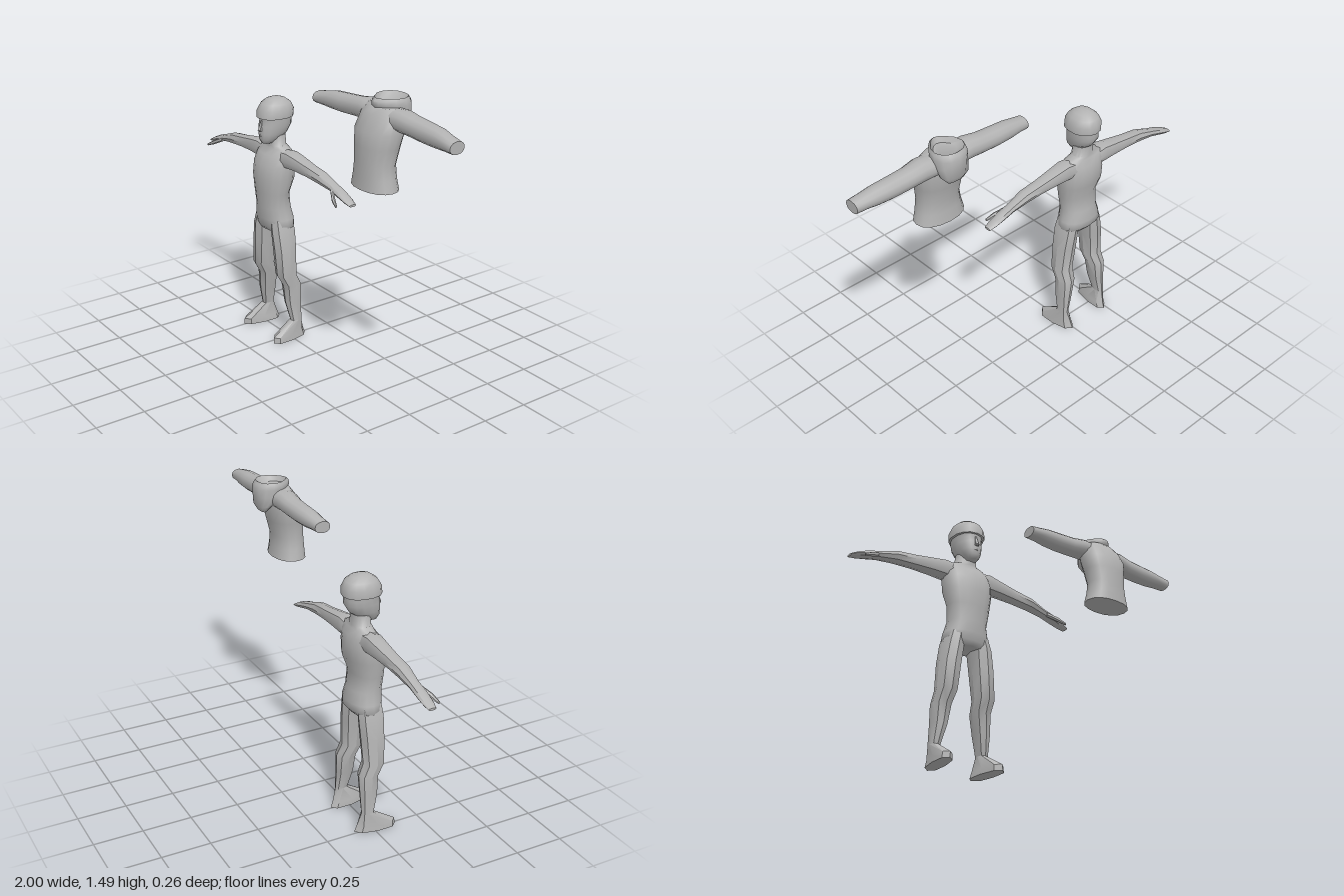
import * as THREE from 'three';
import { toCreasedNormals } from 'three/addons/utils/BufferGeometryUtils.js';

const grey = new THREE.MeshStandardMaterial({ color: 0xb3b3b3 });
grey.name = 'grey';

// Rounds an angle's sine or cosine towards a square by the power p
const soft = (v, p) => Math.sign(v) * Math.abs(v) ** p;

// Skin over elliptical rings.
// axis 'y': [y, cx, cz, rx, rz, frontTaper, skew]; axis 'x': [x, cy, cz, ry, rz]
function loft(rings, { axis = 'y', sides = 12, p = 0.9, side = 1, crease = 1.2 } = {}) {
  const pos = [], index = [];
  const tri = (a, b, c) => index.push(...(side > 0 ? [a, b, c] : [a, c, b]));
  for (const [t, c, cz, r, rz, taper = 0, skew = 0] of rings) {
    for (let j = 0; j < sides; j++) {
      const a = (j / sides) * Math.PI * 2;
      const s = soft(Math.sin(a), p), k = soft(Math.cos(a), p);
      if (axis === 'y') {
        const x = c + r * s * (1 - taper * Math.max(0, Math.cos(a))) + skew * rz * k;
        pos.push(side * x, t, cz + rz * k);
      } else pos.push(side * t, c + r * k, cz + rz * s);
    }
  }
  const n = rings.length;
  for (let i = 0; i < n - 1; i++) {
    for (let j = 0; j < sides; j++) {
      const a = i * sides + j, b = i * sides + ((j + 1) % sides);
      tri(a, b, b + sides);
      tri(a, b + sides, a + sides);
    }
  }
  // End caps
  const last = (n - 1) * sides;
  for (let j = 1; j < sides - 1; j++) {
    tri(0, j + 1, j);
    tri(last, last + j, last + j + 1);
  }
  const g = new THREE.BufferGeometry();
  g.setAttribute('position', new THREE.Float32BufferAttribute(pos, 3));
  g.setIndex(index);
  return toCreasedNormals(g, crease);
}

function add(group, name, geometry) {
  const mesh = new THREE.Mesh(geometry, grey);
  mesh.name = name;
  group.add(mesh);
  return mesh;
}

function makeFigure() {
  const figure = new THREE.Group();
  figure.name = 'figure';

  // Pelvis, chest, shoulders and neck
  add(figure, 'torso', loft([
    [0.595, 0, 0.008, 0.1, 0.06], [0.62, 0, 0.003, 0.124, 0.076],
    [0.66, 0, 0.006, 0.116, 0.082], [0.72, 0, 0.013, 0.1, 0.077],
    [0.8, 0, 0.022, 0.11, 0.073], [0.88, 0, 0.01, 0.126, 0.09],
    [0.95, 0, 0.004, 0.13, 0.085], [1.0, 0, -0.005, 0.125, 0.068],
    [1.032, 0, -0.01, 0.112, 0.047], [1.045, 0, -0.008, 0.058, 0.046],
    [1.1, 0, -0.008, 0.05, 0.045],
  ], { sides: 16 }));

  // Face and skull
  add(figure, 'head', loft([
    [1.06, 0, 0.045, 0.025, 0.03], [1.08, 0, 0.03, 0.042, 0.056],
    [1.11, 0, 0.01, 0.056, 0.077], [1.15, 0, -0.003, 0.065, 0.088],
    [1.175, 0, -0.006, 0.067, 0.084], [1.21, 0, -0.005, 0.07, 0.09],
  ], { sides: 14 }));

  // Nose: a small wedge, wider at the nostrils
  add(figure, 'nose', loft([
    [1.125, 0, 0.082, 0.011, 0.014], [1.132, 0, 0.084, 0.012, 0.018],
    [1.18, 0, 0.074, 0.005, 0.007],
  ], { sides: 6, p: 1, crease: 0.5 }));

  // Lips
  add(figure, 'mouth', loft([
    [1.095, 0, 0.078, 0.008, 0.008], [1.102, 0, 0.08, 0.014, 0.01],
    [1.109, 0, 0.08, 0.008, 0.008],
  ], { sides: 6, p: 1, crease: 0.5 }));

  // Close-fitting cap
  add(figure, 'cap', loft([
    [1.192, 0, -0.003, 0.08, 0.096], [1.23, 0, -0.006, 0.081, 0.095],
    [1.262, 0, -0.008, 0.066, 0.078], [1.282, 0, -0.008, 0.043, 0.05],
    [1.291, 0, -0.008, 0.018, 0.022],
  ], { sides: 14 }));

  for (const side of [1, -1]) {
    const label = side > 0 ? 'left' : 'right';

    // Leg running down into a wedge foot
    add(figure, label + 'Leg', loft([
      [0, 0.133, 0.012, 0.038, 0.107, 0, 0.012 / 0.107],
      [0.03, 0.133, 0.017, 0.035, 0.1, 0, 0.1], [0.1, 0.133, -0.03, 0.024, 0.032],
      [0.2, 0.12, -0.02, 0.037, 0.044], [0.3, 0.111, -0.018, 0.045, 0.05],
      [0.36, 0.106, 0.012, 0.05, 0.053], [0.5, 0.093, 0.01, 0.053, 0.06],
      [0.6, 0.079, 0.01, 0.05, 0.065], [0.66, 0.065, 0.01, 0.045, 0.06],
    ], { sides: 8, p: 0.8, side, crease: 0.55 }));

    // Arm flattening into a mitten hand
    add(figure, label + 'Arm', loft([
      [0.05, 0.985, -0.01, 0.045, 0.05], [0.13, 0.992, -0.01, 0.05, 0.05],
      [0.2, 0.988, -0.012, 0.042, 0.045], [0.3, 0.978, -0.012, 0.034, 0.038],
      [0.4, 0.968, -0.012, 0.03, 0.036], [0.49, 0.947, -0.015, 0.02, 0.028],
      [0.55, 0.93, -0.015, 0.018, 0.03], [0.6, 0.913, -0.015, 0.013, 0.028],
      [0.637, 0.899, -0.015, 0.006, 0.02],
    ], { axis: 'x', sides: 8, side, crease: 0.8 }));

    add(figure, label + 'Thumb', loft([
      [0.5, 0.938, 0.005, 0.012, 0.012], [0.55, 0.912, 0.034, 0.011, 0.011],
      [0.59, 0.893, 0.048, 0.006, 0.006],
    ], { axis: 'x', sides: 6, side, crease: 0.5 }));
  }
  return figure;
}

function makeTop() {
  const top = new THREE.Group();
  top.name = 'hoodedTop';

  add(top, 'shirtBody', loft([
    [1.083, 0, 0.045, 0.13, 0.085], [1.14, 0, 0.047, 0.116, 0.08],
    [1.2, 0, 0.047, 0.107, 0.078], [1.28, 0, 0.036, 0.118, 0.086],
    [1.35, 0, 0.025, 0.132, 0.09], [1.42, 0, 0.007, 0.124, 0.07],
    [1.455, 0, 0, 0.095, 0.052],
  ], { sides: 16 }));

  // Lowered hood hanging at the back, with its opening sunk into the top
  add(top, 'hood', loft([
    [1.34, 0, -0.09, 0.045, 0.013], [1.37, 0, -0.085, 0.072, 0.036],
    [1.42, 0, -0.05, 0.084, 0.076, 0.3], [1.46, 0, -0.034, 0.088, 0.096, 0.5],
    [1.48, 0, -0.03, 0.086, 0.092, 0.5], [1.493, 0, -0.032, 0.078, 0.08, 0.5],
    [1.465, 0, -0.02, 0.055, 0.055, 0.4],
  ], { sides: 14, crease: 1 }));

  for (const side of [1, -1]) {
    add(top, (side > 0 ? 'left' : 'right') + 'Sleeve', loft([
      [0.05, 1.405, -0.005, 0.05, 0.06], [0.13, 1.41, -0.008, 0.05, 0.06],
      [0.2, 1.402, -0.01, 0.047, 0.053], [0.29, 1.396, -0.008, 0.046, 0.051],
      [0.37, 1.393, -0.005, 0.043, 0.048], [0.43, 1.388, 0, 0.035, 0.042],
      [0.485, 1.383, 0.003, 0.029, 0.041],
    ], { axis: 'x', sides: 12, side, crease: 1 }));
  }
  return top;
}

export function createModel() {
  const model = new THREE.Group();
  model.name = 'figureAndTop';
  const figure = makeFigure();
  figure.position.x = -0.363;
  const top = makeTop();
  top.position.x = 0.513;
  model.add(figure, top);
  return model;
}
